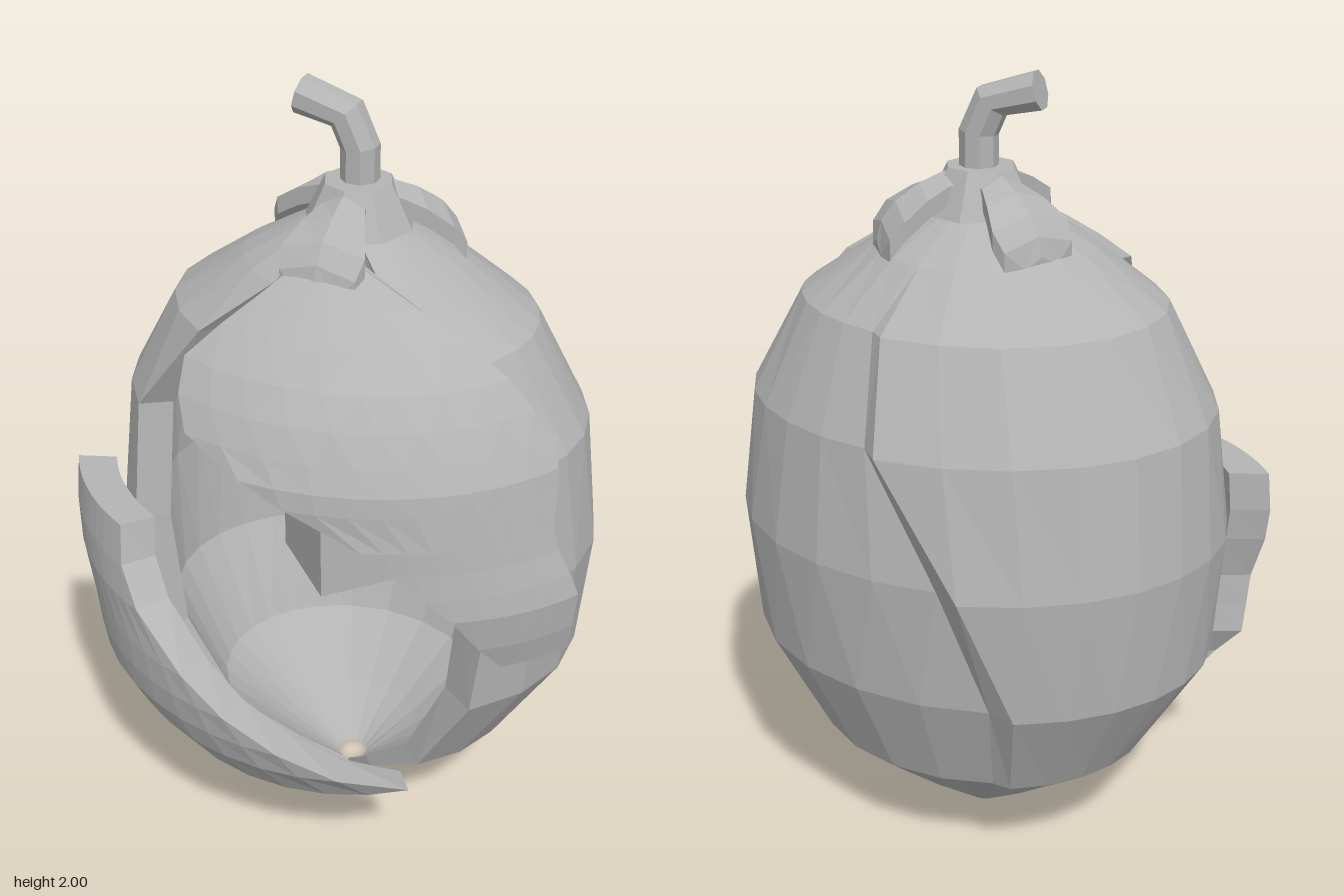
import * as THREE from 'three';

const AXIS_Z = -0.05;
const grey = new THREE.MeshStandardMaterial({ color: 0xb4b4b4 });

function addMesh(parent, name, geometry) {
  const flat = geometry.toNonIndexed();
  flat.computeVertexNormals();
  const mesh = new THREE.Mesh(flat, grey);
  mesh.name = name;
  parent.add(mesh);
  return mesh;
}

// Joins closed cross-sections; point j of a loop faces point 2n-1-j for the end caps
function loft(loops) {
  const m = loops[0].length;
  const points = loops.flat();
  const index = [];
  const gap = (a, b) => Math.hypot(...points[a].map((v, i) => v - points[b][i]));
  // each quad is split along its shorter diagonal
  const quad = (a, b, c, d) => {
    if (gap(a, c) <= gap(b, d)) index.push(a, b, c, a, c, d);
    else index.push(a, b, d, b, c, d);
  };
  for (let i = 0; i < loops.length - 1; i++) {
    for (let j = 0; j < m; j++) {
      const k = (j + 1) % m;
      quad(i * m + j, i * m + k, (i + 1) * m + k, (i + 1) * m + j);
    }
  }
  const top = (loops.length - 1) * m;
  for (let j = 0; j < m / 2 - 1; j++) {
    quad(j, m - 1 - j, m - 2 - j, j + 1);
    quad(top + j, top + j + 1, top + m - 2 - j, top + m - 1 - j);
  }
  const g = new THREE.BufferGeometry();
  g.setAttribute('position', new THREE.Float32BufferAttribute(points.flat(), 3));
  g.setIndex(index);
  return g;
}

// Thick wall: angles with outer radius factors, closed by a plain inner arc
function wallLoop(y, rx, rz, columns, inner) {
  const point = (a, f) => [rx * f * Math.sin(a), y, AXIS_Z + rz * f * Math.cos(a)];
  return [
    ...columns.map(([a, f]) => point(a, f)),
    ...columns.map(([a]) => point(a, inner)).reverse(),
  ];
}

// Open pod: height, radii, right gap, left gap, seam angle, seam step
function podGeometry() {
  const rows = [
    [0, 0.05, 0.05, 0.1, 0.1, 3.6, 0],
    [0.12, 0.23, 0.20, 0.56, 0.6, 3.55, 0.03],
    [0.28, 0.45, 0.385, 0.74, 0.74, 3.5, 0.06],
    [0.55, 0.615, 0.49, 0.83, 0.83, 3.45, 0.09],
    [0.88, 0.645, 0.52, 0.87, 0.87, 3.25, 0.1],
    [1.20, 0.605, 0.485, 0.92, 0.92, 2.93, 0.09],
    [1.45, 0.465, 0.385, 0.9, 0.65, 2.83, 0.06],
    [1.58, 0.275, 0.255, 0.65, 0.4, 2.8, 0],
    [1.68, 0.10, 0.10, 0.4, 0.3, 2.8, 0],
  ];
  const n = 9, bevel = 0.09;
  return loft(rows.map(([y, rx, rz, gapR, gapL, seam, step]) => {
    const columns = [];
    for (let j = 0; j <= n; j++) {
      const t = j / n;
      columns.push([gapR + (seam - gapR) * t, 1 - step * 0.35 * t * t]);
    }
    // the wall steps outward past the seam and settles back towards the left edge
    const start = seam + bevel;
    for (let j = 0; j <= n; j++) {
      const t = j / n;
      columns.push([start + (2 * Math.PI - gapL - start) * t, 1 + step * (0.7 * (1 - t) ** 2 - 0.4 * t)]);
    }
    return wallLoop(y, rx, rz, columns, 0.81);
  }));
}

// Peeled flap: height, left x, right x, ellipse radii
function flapGeometry(rows) {
  const n = 9;
  return loft(rows.map(([y, x0, x1, rx, rz]) => {
    const a0 = Math.asin(x0 / rx), a1 = Math.asin(x1 / rx);
    const columns = Array.from({ length: n + 1 }, (_, j) => [a0 + (a1 - a0) * j / n, 1]);
    return wallLoop(y, rx, rz, columns, 0.86);
  }));
}

// Drooping sepal: distance, height, half width
function sepalGeometry() {
  const rows = [
    [0.05, 1.755, 0.05], [0.09, 1.76, 0.055], [0.15, 1.735, 0.08],
    [0.21, 1.695, 0.105], [0.245, 1.65, 0.095], [0.258, 1.605, 0.045],
  ];
  const thick = 0.045, droop = 0.025;
  return loft(rows.map(([z, y, w]) => [
    [-w, y - thick - droop, z], [0, y - thick, z], [w, y - thick - droop, z],
    [w, y - droop, z], [0, y, z], [-w, y - droop, z],
  ]));
}

// Bent octagonal stem: x, height, tilt
function stemGeometry() {
  const rings = [[0.012, 1.72, 0], [0.012, 1.85, 0.14], [-0.022, 1.925, 0.75], [-0.14, 1.957, 1.32]];
  const r = 0.048;
  return loft(rings.map(([x, y, tilt]) => Array.from({ length: 8 }, (_, i) => {
    const a = (i + 0.5) * Math.PI / 4, u = r * Math.cos(a);
    return [x + u * Math.cos(tilt), y + u * Math.sin(tilt), AXIS_Z - 0.006 - r * Math.sin(a)];
  })));
}

export function createModel() {
  const model = new THREE.Group();
  model.name = 'openPod';

  addMesh(model, 'podShell', podGeometry());

  addMesh(model, 'lowerFlap', flapGeometry([
    [0.01, -0.02, 0.025, 0.03, 0.09],
    [0.08, -0.14, 0.095, 0.17, 0.20],
    [0.14, -0.25, 0.15, 0.28, 0.30],
    [0.22, -0.36, 0.215, 0.41, 0.42],
    [0.31, -0.48, 0.33, 0.53, 0.53],
    [0.42, -0.57, 0.20, 0.63, 0.60],
    [0.50, -0.64, 0.06, 0.695, 0.625],
    [0.58, -0.645, -0.08, 0.705, 0.638],
    [0.66, -0.65, -0.20, 0.715, 0.64],
    [0.78, -0.685, -0.35, 0.745, 0.63],
    [0.87, -0.695, -0.41, 0.755, 0.61],
    [0.97, -0.685, -0.42, 0.75, 0.585],
  ]));

  addMesh(model, 'upperFlap', flapGeometry([
    [0.74, 0.54, 0.665, 0.73, 0.54],
    [0.82, 0.50, 0.675, 0.745, 0.57],
    [0.92, 0.45, 0.685, 0.755, 0.59],
    [0.98, 0.39, 0.665, 0.74, 0.59],
    [1.05, 0.32, 0.635, 0.715, 0.59],
    [1.11, 0.25, 0.62, 0.70, 0.59],
    [1.20, 0.07, 0.615, 0.68, 0.585],
    [1.25, -0.04, 0.61, 0.67, 0.58],
    [1.31, -0.20, 0.595, 0.64, 0.555],
    [1.38, -0.24, 0.54, 0.60, 0.52],
    [1.45, -0.25, 0.48, 0.55, 0.47],
    [1.52, -0.18, 0.37, 0.46, 0.39],
    [1.58, -0.11, 0.25, 0.36, 0.31],
    [1.66, -0.02, 0.03, 0.10, 0.18],
  ]));

  // Turned block inside the hollow
  const block = addMesh(model, 'innerBlock', new THREE.BoxGeometry(0.265, 0.26, 0.265));
  block.rotation.y = Math.PI / 4;
  block.position.set(0.01, 0.84, 0);

  // Crown with three sepals
  const crown = new THREE.Group();
  crown.name = 'crown';
  crown.position.set(0.01, 0, AXIS_Z);
  model.add(crown);
  const collar = addMesh(crown, 'collar', new THREE.CylinderGeometry(0.085, 0.14, 0.11, 8));
  collar.position.y = 1.715;
  [0, 2.2, -2.2].forEach((angle) => {
    addMesh(crown, 'sepal', sepalGeometry()).rotation.y = angle;
  });

  addMesh(model, 'stem', stemGeometry());
  return model;
}
